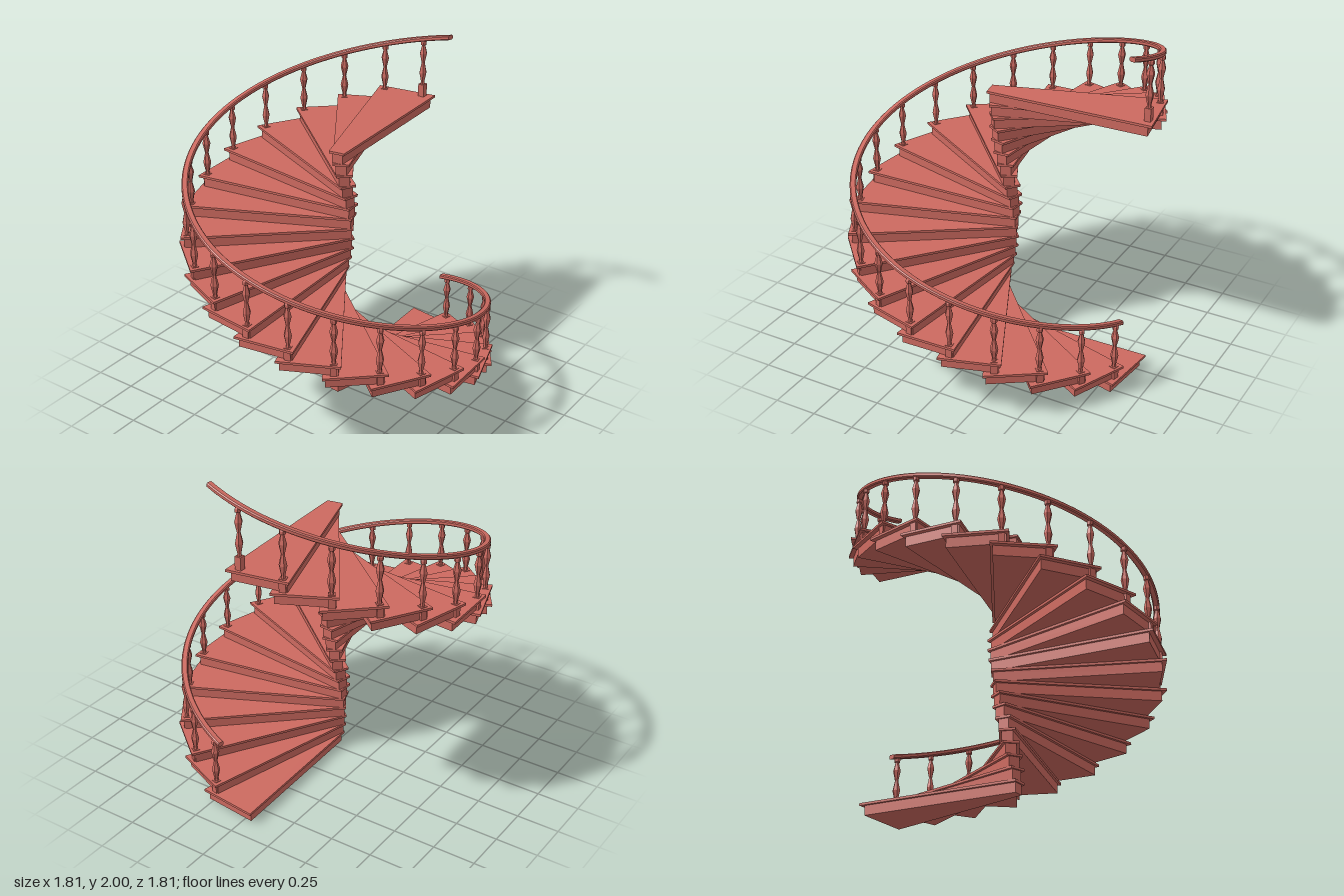
import * as THREE from 'three';
import { toCreasedNormals } from 'three/addons/utils/BufferGeometryUtils.js';

const STEPS = 22;
const RISE = 1.573 / STEPS;
const TURN = (Math.PI * 2) / STEPS;
const DEG = Math.PI / 180;
const RAIL_R = 0.857;

// Wedge-shaped slab: u runs outward, the wedge is centred on v = 0.02
function wedge(u0, u1, half0, half1, height) {
  const v = 0.02;
  const shape = new THREE.Shape([
    [u0, -v - half0], [u1, -v - half1], [u1, -v + half1], [u0, -v + half0],
  ].map(([x, y]) => new THREE.Vector2(x, y)));
  const geo = new THREE.ExtrudeGeometry(shape, { depth: height, bevelEnabled: false });
  return geo.rotateX(-Math.PI / 2);
}

// Helical handrail: a chamfered bar bent round one full turn
function railGeometry() {
  const w = 0.0185, h = 0.0135, c = 0.006;
  const shape = new THREE.Shape([
    [-w + c, -h], [w - c, -h], [w, -h + c], [w, h - c],
    [w - c, h], [-w + c, h], [-w, h - c], [-w, -h + c],
  ].map(([x, y]) => new THREE.Vector2(x, y)));
  const geo = new THREE.ExtrudeGeometry(shape, { depth: 1, steps: 110, bevelEnabled: false });
  const p = geo.attributes.position;
  for (let i = 0; i < p.count; i++) {
    const t = p.getZ(i);
    const a = 12 * DEG + t * Math.PI * 2;
    const r = RAIL_R + p.getX(i);
    p.setXYZ(i, r * Math.cos(a), 0.4135 + t * 1.573 + p.getY(i), r * Math.sin(a));
  }
  return toCreasedNormals(geo, 0.4);
}

export function createModel() {
  const model = new THREE.Group();
  model.name = 'spiralStaircase';
  const mat = new THREE.MeshStandardMaterial({ color: 0xcd6a60 });
  const flat = new THREE.MeshStandardMaterial({ color: 0xcd6a60, flatShading: true });

  const plate = 0.014;
  const bodyGeo = wedge(-0.07, 0.86, 0.031, 0.16, RISE - plate);
  const treadGeo = wedge(-0.08, 0.885, 0.046, 0.178, plate);
  const blockGeo = new THREE.BoxGeometry(0.037, 0.075, 0.037);
  // Turned spindle with two swellings and a small cap
  const spindleGeo = new THREE.LatheGeometry([
    [0.013, 0.075], [0.011, 0.09], [0.023, 0.148], [0.01, 0.208],
    [0.023, 0.268], [0.01, 0.318], [0.018, 0.322], [0.018, 0.34], [0.01, 0.352],
  ].map(([x, y]) => new THREE.Vector2(x, y)), 6);

  const add = (parent, name, geo, material, x, y) => {
    const mesh = new THREE.Mesh(geo, material);
    mesh.name = name;
    mesh.position.set(x, y, 0);
    parent.add(mesh);
  };

  for (let i = 0; i < STEPS; i++) {
    // Step: riser body with an overhanging tread
    const step = new THREE.Group();
    step.name = 'step';
    step.position.y = i * RISE;
    step.rotation.y = -(6.6 * DEG + i * TURN);
    add(step, 'stepBody', bodyGeo, mat, 0, 0);
    add(step, 'tread', treadGeo, mat, 0, RISE - plate);
    model.add(step);

    // Baluster near the back outer corner of the tread
    const baluster = new THREE.Group();
    baluster.name = 'baluster';
    baluster.position.y = (i + 1) * RISE;
    baluster.rotation.y = -(15.4 * DEG + i * TURN);
    add(baluster, 'balusterBase', blockGeo, mat, RAIL_R + 0.003, 0.0375);
    add(baluster, 'balusterSpindle', spindleGeo, flat, RAIL_R + 0.003, 0);
    model.add(baluster);
  }

  add(model, 'handrail', railGeometry(), mat, 0, 0);
  return model;
}
